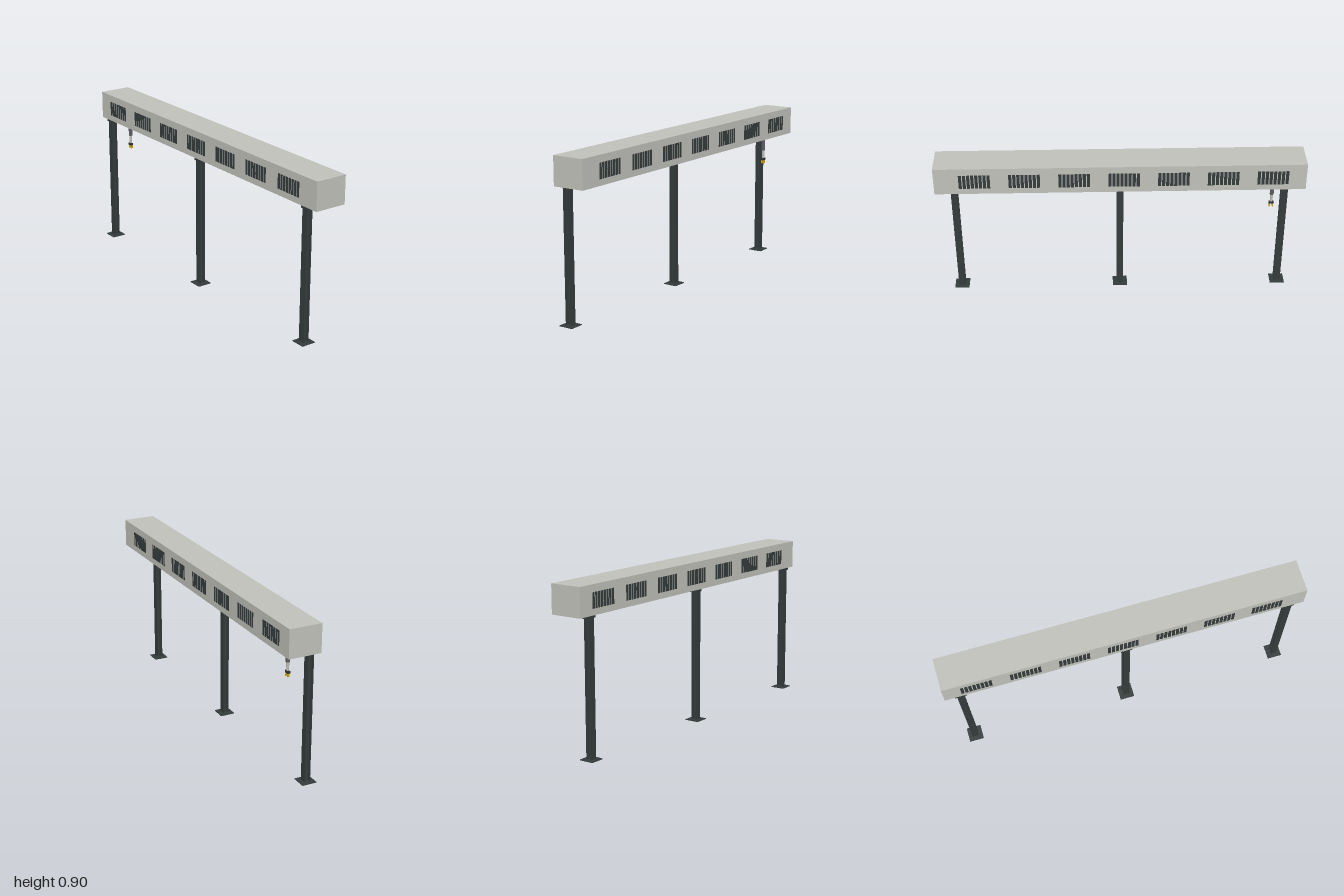
import * as THREE from 'three';

const mat = (name, hex) => {
  const m = new THREE.MeshStandardMaterial({ color: hex });
  m.name = name;
  return m;
};

export function createModel() {
  const model = new THREE.Group();
  model.name = 'overheadRailConveyor';

  const shell = mat('warm light grey', 0xbfbfb9);
  const steel = mat('dark green grey', 0x343b3b);
  const metal = mat('mid grey', 0x5c5b61);
  const black = mat('charcoal', 0x2f3032);
  const yellow = mat('yellow', 0xcaa20c);

  // Box given by its minimum and maximum corners
  const box = (parent, name, m, x0, x1, y0, y1, z0, z1) => {
    const mesh = new THREE.Mesh(new THREE.BoxGeometry(x1 - x0, y1 - y0, z1 - z0), m);
    mesh.position.set((x0 + x1) / 2, (y0 + y1) / 2, (z0 + z1) / 2);
    mesh.name = name;
    parent.add(mesh);
    return mesh;
  };
  const group = (name, x = 0, z = 0) => {
    const g = new THREE.Group();
    g.name = name;
    g.position.set(x, 0, z);
    model.add(g);
    return g;
  };

  // Housing: hollow channel with inward lips along the open underside
  const top = 0.9, low = 0.743, front = 0.081, back = -0.102, t = 0.005, lip = 0.04;
  const channel = new THREE.Shape([
    [front, low], [front, top], [back, top], [back, low], [back + lip, low], [back + lip, low + t],
    [back + t, low + t], [back + t, top - t], [front - t, top - t], [front - t, low + t],
    [front - lip, low + t], [front - lip, low],
  ].map(([z, y]) => new THREE.Vector2(-z, y)));
  const housingGeo = new THREE.ExtrudeGeometry(channel, { depth: 2 - 2 * t, bevelEnabled: false });
  housingGeo.rotateY(Math.PI / 2).translate(-1 + t, 0, 0);
  const housing = new THREE.Mesh(housingGeo, shell);
  housing.name = 'housing';
  model.add(housing);
  for (const s of [-1, 1]) {
    box(model, 'endPlate', shell, s < 0 ? -1 : 1 - t, s < 0 ? -1 + t : 1, low, top, back, front);
  }

  // Vent slots: seven banks of eight on both long sides
  const vents = group('vents');
  for (let i = 0; i < 7; i++) {
    for (let j = 0; j < 8; j++) {
      const x = -0.904 + i * 0.267 + j * 0.0217;
      for (const z of [front, back]) {
        box(vents, 'ventSlot', steel, x, x + 0.0165, 0.777, 0.86, z - 0.001, z + 0.001);
      }
    }
  }

  // Legs: H-section posts with cap and base plates
  for (const x of [-0.914, 0, 0.914]) {
    const leg = group('leg', x, 0.0645);
    box(leg, 'basePlate', steel, -0.041, 0.041, 0, 0.004, -0.041, 0.041);
    box(leg, 'postWeb', steel, -0.004, 0.004, 0.004, 0.731, -0.014, 0.014);
    for (const s of [-1, 1]) {
      box(leg, 'postFlange', steel, -0.019, 0.019, 0.004, 0.731, s * 0.014 - 0.0025, s * 0.014 + 0.0025);
    }
    box(leg, 'capPlate', steel, -0.032, 0.032, 0.731, 0.743, -0.024, 0.0165);
  }

  // Hanging gripper on its carriage
  const arm = group('gripperArm', -0.834, -0.0105);
  const tube = (name, m, y0, y1, r0, r1) => {
    const mesh = new THREE.Mesh(new THREE.CylinderGeometry(r1, r0, y1 - y0, 20), m);
    mesh.position.y = (y0 + y1) / 2;
    mesh.name = name;
    arm.add(mesh);
  };
  box(arm, 'carriage', black, -0.018, 0.018, 0.748, 0.758, -0.056, 0.056);
  box(arm, 'mountBlock', black, -0.016, 0.016, 0.728, 0.75, -0.016, 0.016);
  tube('upperTube', metal, 0.651, 0.73, 0.011, 0.011);
  tube('lowerTube', shell, 0.602, 0.651, 0.006, 0.009);
  box(arm, 'gripperBody', black, -0.014, 0.014, 0.591, 0.603, -0.008, 0.008);
  for (const s of [-1, 1]) {
    box(arm, 'gripperFinger', yellow, s * 0.009 - 0.003, s * 0.009 + 0.003, 0.572, 0.591, -0.006, 0.006);
  }

  return model;
}
